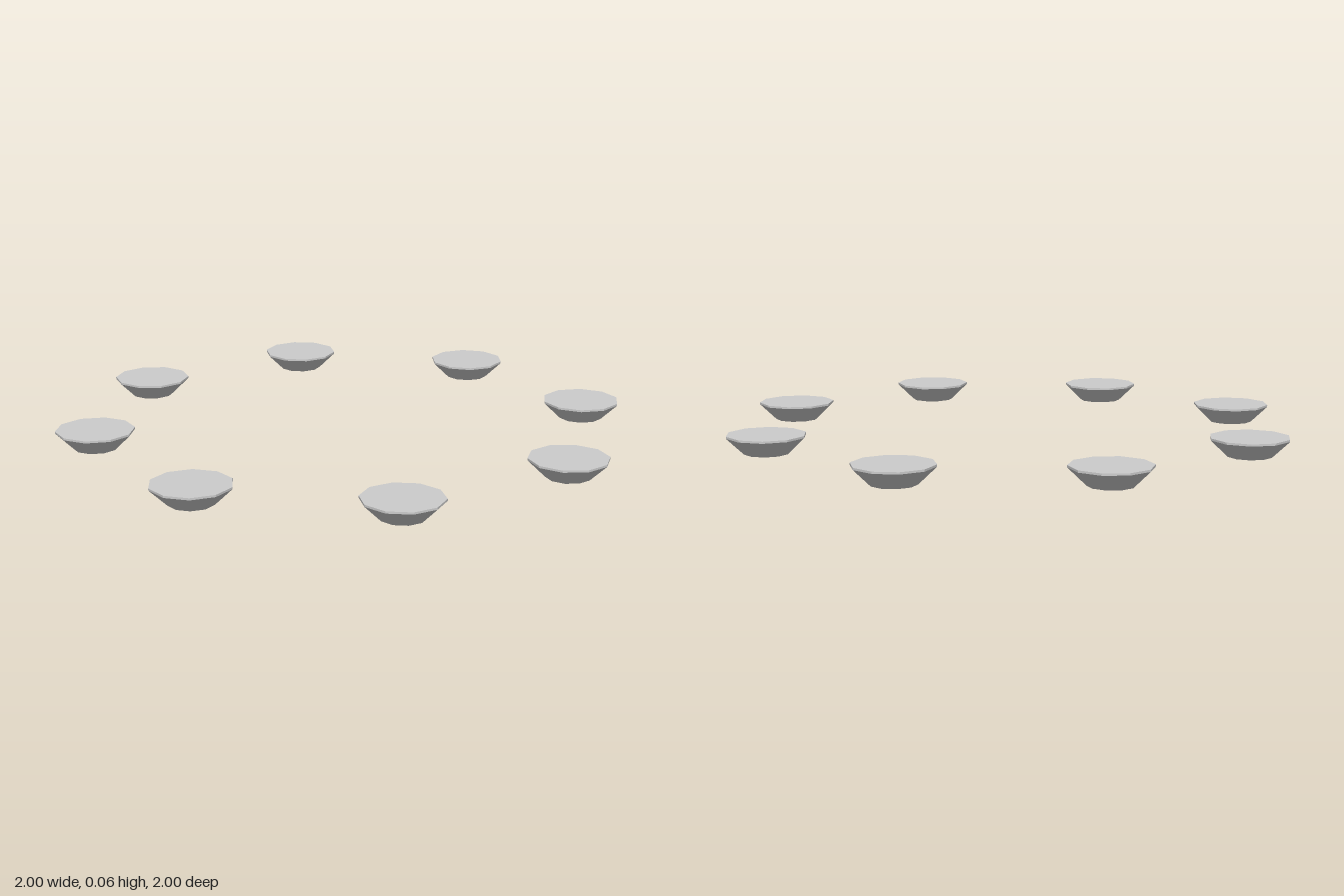
import * as THREE from 'three';

const COUNT = 8, SIDES = 10, RING = 0.865;

export function createModel() {
  const group = new THREE.Group();
  group.name = 'padRing';
  const material = new THREE.MeshStandardMaterial({ color: 0xcccccc, flatShading: true });

  // Closed profile: flat base, flared side, thin upright rim, flat top
  const profile = [[0, 0], [0.076, 0], [0.135, 0.057], [0.135, 0.064], [0, 0.064]]
    .map(([r, y]) => new THREE.Vector2(r, y));
  const geometry = new THREE.LatheGeometry(profile, SIDES);

  // Eight pads around the circle, each with a corner pointing outward
  for (let i = 0; i < COUNT; i++) {
    const angle = (i / COUNT) * Math.PI * 2;
    const pad = new THREE.Mesh(geometry, material);
    pad.name = `pad${i + 1}`;
    pad.position.set(Math.sin(angle) * RING, 0, Math.cos(angle) * RING);
    pad.rotation.y = angle;
    group.add(pad);
  }
  return group;
}
